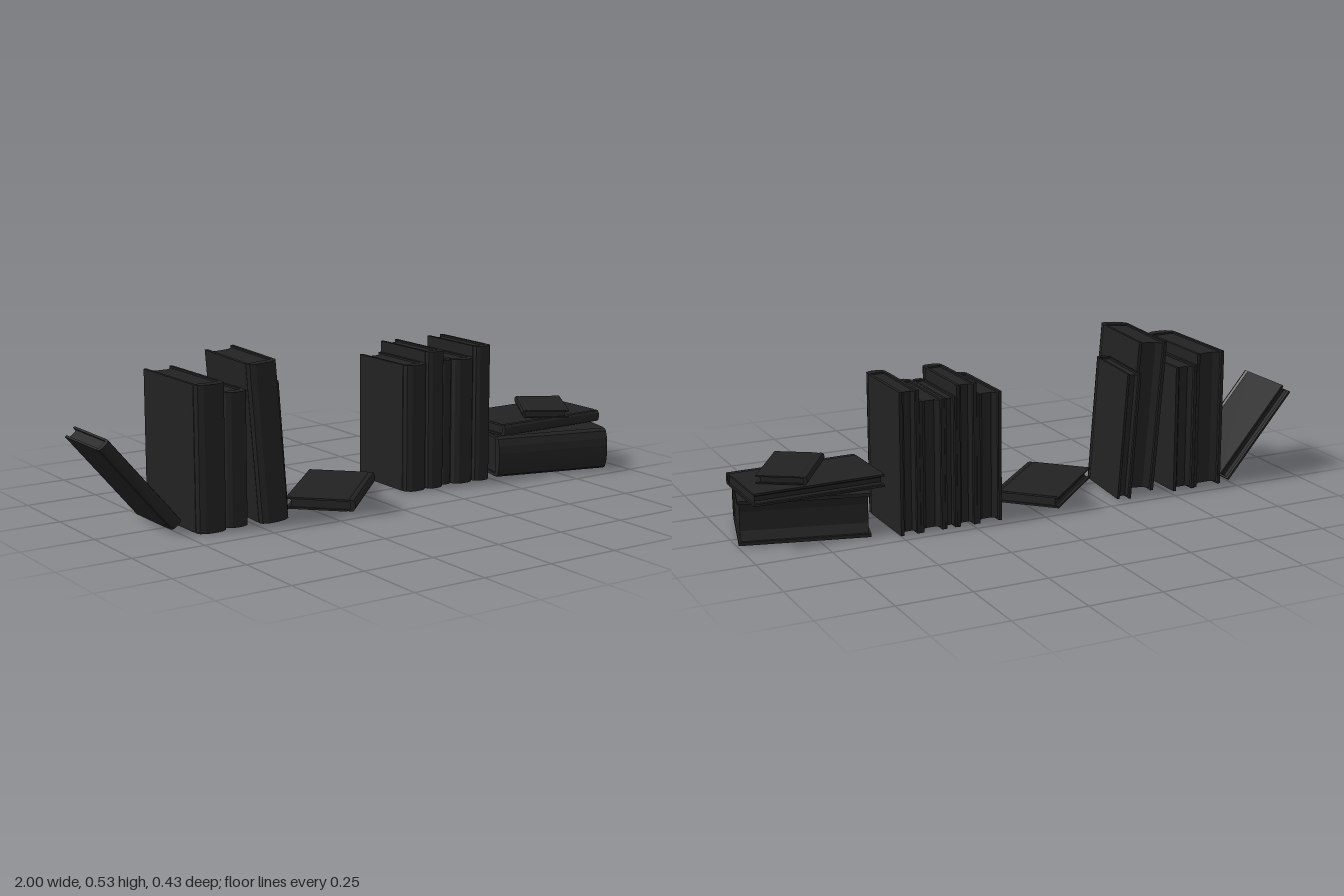
import * as THREE from 'three';

const cloth = new THREE.MeshStandardMaterial({ color: 0x222222 });
cloth.name = 'charcoal';

// Extrudes an outline of [x, z] points upward, centred on its height
function prism(points, height) {
  const shape = new THREE.Shape(points.map(([x, z]) => new THREE.Vector2(x, -z)));
  const geo = new THREE.ExtrudeGeometry(shape, { depth: height, bevelEnabled: false });
  return geo.translate(0, 0, -height / 2).rotateX(-Math.PI / 2);
}

// Upright closed book: thickness along x, height along y, spine toward +z
function makeBook(name, t, h, d) {
  const book = new THREE.Group();
  book.name = name;
  const half = t / 2, front = d / 2, back = -d / 2;
  const board = Math.min(0.011, t * 0.16);
  const bulge = Math.min(0.024, t * 0.28);
  const hinge = front - bulge;
  const pinch = Math.min(0.003, t * 0.06);

  // Outer outline on the +x side, from fore-edge to the crown of the spine
  const side = [
    [half, back], [half, hinge - 0.018], [half - pinch, hinge - 0.012], [half, hinge - 0.004],
    [half * 0.88, hinge + bulge * 0.45], [half * 0.55, front - bulge * 0.12], [half * 0.2, front],
  ];
  const mirror = (list) => list.map(([x, z]) => [-x, z]).reverse();
  // Inner outline leaves the fore-edge open
  const inner = [[-half + board, back], [-half + board, hinge - board],
    [half - board, hinge - board], [half - board, back]];
  const cover = new THREE.Mesh(prism([...side, ...mirror(side), ...inner], h), cloth);
  cover.name = 'cover';

  // Page block with a hollow fore-edge, slightly shorter than the cover
  const w = half - board + 0.0005;
  const pageSide = [[w, hinge - board + 0.001], [w, back + 0.01], [w * 0.5, back + 0.01 + bulge * 0.5]];
  const pages = new THREE.Mesh(
    prism([...pageSide, ...mirror(pageSide)].reverse(), h - 0.012), cloth);
  pages.name = 'pages';
  book.add(cover, pages);
  return book;
}

export function createModel() {
  const root = new THREE.Group();
  root.name = 'bookRow';
  const FLAT = Math.PI / 2;

  // name, [thickness, height, depth], [centre], lean about z, yaw about y
  const books = [
    ['slantedBook', [0.046, 0.38, 0.245], [-0.86, 0.163, -0.067], 0.705, 0],
    ['leftTallBook', [0.106, 0.475, 0.355], [-0.656, 0.2405, -0.027], 0, 0],
    ['leftShortBook', [0.083, 0.438, 0.345], [-0.558, 0.222, -0.037], 0, 0],
    ['leaningLargeBook', [0.104, 0.522, 0.33], [-0.441, 0.268, -0.003], 0.078, -0.08],
    ['leaningThinBook', [0.05, 0.435, 0.272], [-0.35, 0.222, -0.077], 0.07, -0.1],
    ['flatBook', [0.04, 0.365, 0.232], [-0.112, 0.03, -0.01], FLAT + 0.018, Math.PI / 4],
    ['rightBook1', [0.088, 0.438, 0.287], [0.185, 0.221, -0.067], 0, 0],
    ['rightBook2', [0.07, 0.477, 0.287], [0.265, 0.24, -0.067], 0, 0],
    ['rightBook3', [0.042, 0.438, 0.267], [0.322, 0.221, -0.077], 0, 0],
    ['rightBook4', [0.086, 0.438, 0.287], [0.387, 0.221, -0.067], 0, 0],
    ['rightBook5', [0.068, 0.477, 0.29], [0.465, 0.24, -0.065], 0, 0],
    ['stackBottomBook', [0.147, 0.42, 0.3], [0.756, 0.079, 0.015], FLAT, -0.257],
    ['stackMiddleBook', [0.042, 0.44, 0.265], [0.75, 0.176, -0.021], FLAT, 0.015],
    ['stackTopBook', [0.027, 0.262, 0.165], [0.79, 0.213, 0], FLAT, -2.14],
  ];
  for (const [name, size, centre, lean, yaw] of books) {
    const book = makeBook(name, ...size);
    book.position.set(...centre);
    book.rotation.set(0, yaw, lean, 'YXZ');
    root.add(book);
  }
  return root;
}
